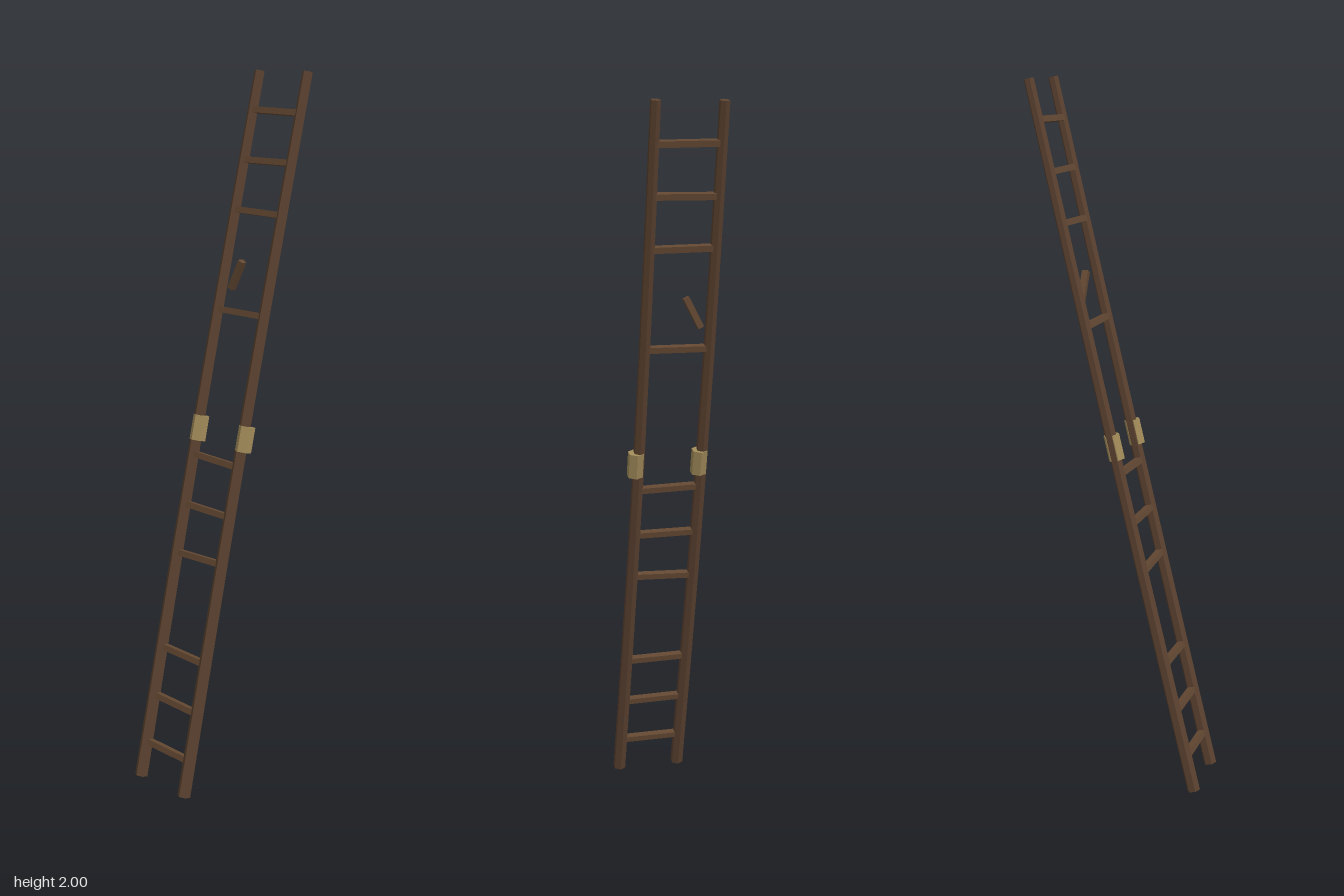
import * as THREE from 'three';

const mat = (name, color) => {
  const m = new THREE.MeshStandardMaterial({ color, flatShading: true });
  m.name = name;
  return m;
};

export function createModel() {
  const railWood = mat('dark rail wood', 0x5a412f);
  const rungWood = mat('rung wood', 0x634832);
  const brass = mat('dull brass', 0xa08a58);

  const model = new THREE.Group();
  model.name = 'brokenLadder';

  const add = (parent, name, geometry, material, x, y, z = 0, rz = 0) => {
    const mesh = new THREE.Mesh(geometry, material);
    mesh.name = name;
    mesh.position.set(x, y, z);
    mesh.rotation.z = rz;
    parent.add(mesh);
    return mesh;
  };

  // Everything still attached leans back with the ladder
  const lean = Math.atan(0.239);
  const ladder = new THREE.Group();
  ladder.name = 'leaningLadder';
  ladder.position.set(0, 1, -0.005);
  ladder.rotation.x = -lean;
  model.add(ladder);

  // Tapered six-sided rails, both bowed slightly to the same side
  const half = 1.024;
  for (const side of [-1, 1]) {
    const rail = new THREE.CylinderGeometry(0.0145, 0.019, half * 2, 6, 6);
    const p = rail.attributes.position;
    for (let i = 0; i < p.count; i++) {
      const t = (p.getY(i) + half) / (2 * half);
      p.setX(i, p.getX(i) - 0.008 * Math.sin(Math.PI * t));
    }
    const label = side > 0 ? 'left' : 'right';
    add(ladder, label + 'Rail', rail, railWood, side * 0.091, 0);

    // Six-sided collar around the joint of each rail
    const collar = new THREE.CylinderGeometry(0.0235, 0.0235, 0.072, 6);
    add(ladder, label + 'Collar', collar, brass, side * 0.092, 0.007);
  }

  // Remaining rungs: height and a slight tilt
  const rungs = [
    [0.105, -0.01], [0.24, -0.02], [0.38, -0.02], [0.655, 0.03], [0.79, -0.01],
    [0.93, -0.03], [1.34, 0], [1.615, -0.02], [1.753, 0], [1.888, -0.02],
  ];
  const rungGeometry = new THREE.BoxGeometry(0.176, 0.017, 0.02);
  rungs.forEach(([y, tilt], i) => {
    const bow = -0.008 * Math.sin(Math.PI * y / 2);
    add(ladder, 'rung' + (i + 1), rungGeometry, rungWood, bow, (y - 1) / Math.cos(lean), 0, tilt);
  });

  // Snapped rung left hanging between the rails
  add(model, 'brokenRung', new THREE.BoxGeometry(0.092, 0.017, 0.018), rungWood,
    -0.0455, 1.44, -0.11, 1.09);

  return model;
}
